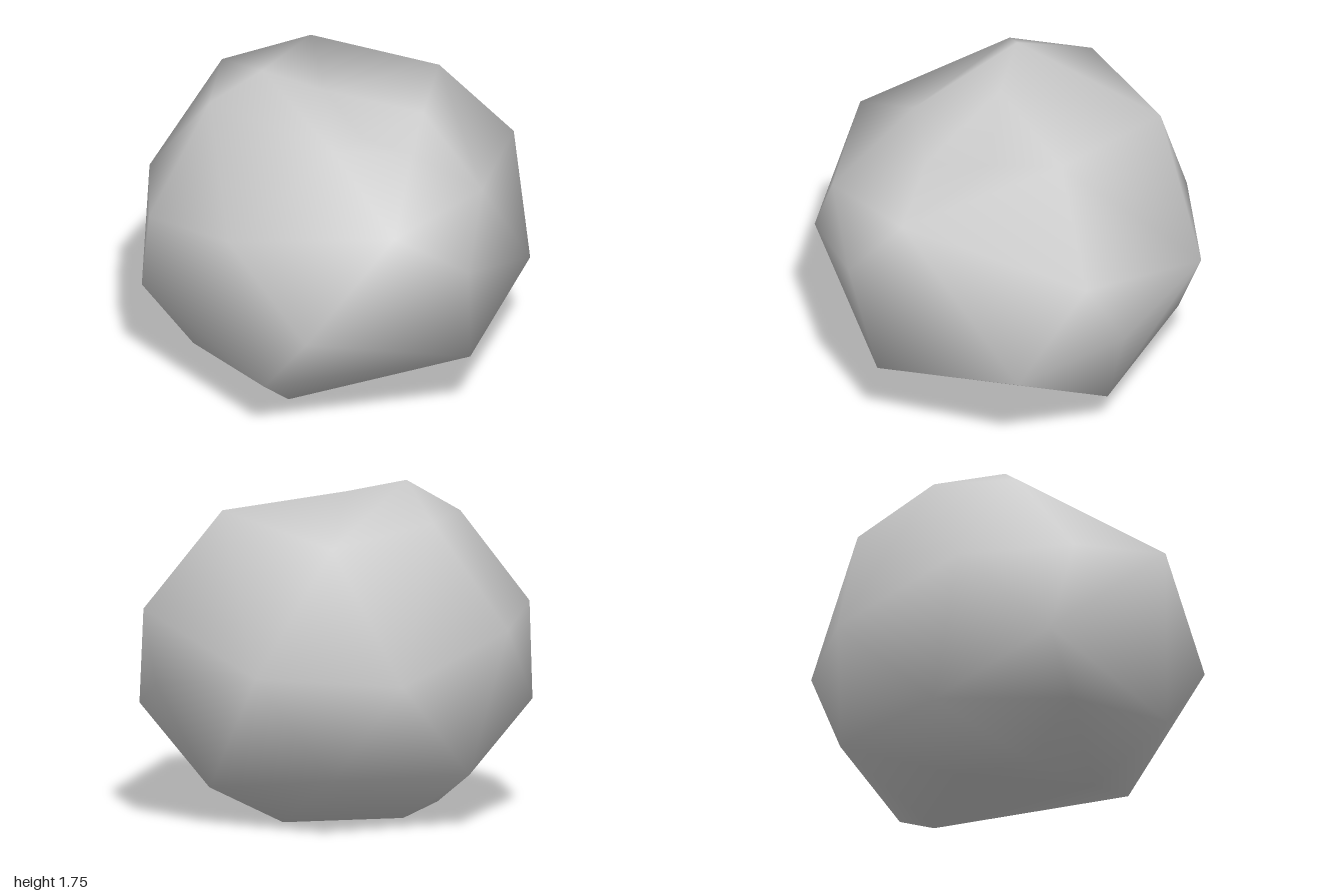
import * as THREE from 'three';
import { mergeVertices } from 'three/addons/utils/BufferGeometryUtils.js';
import { ConvexGeometry } from 'three/addons/geometries/ConvexGeometry.js';

// Corners of the boulder, grouped by height
const CROWN = [
  [-0.26, 1.75, -0.33], [0.55, 1.61, 0.18], [-0.11, 1.59, -0.73],
  [0.48, 1.5, -0.63], [-0.48, 1.59, -0.5],
];
const DENT = [
  [0.21, 1.55, 0.36], [-0.41, 1.57, 0.28], [-0.1, 1.67, -0.04],
  [-0.08, 1.5, 0.53], [-0.14, 1.52, 0.25],
];
const MIDDLE = [
  [0.92, 1.11, 0.37], [1, 0.75, 0.17], [0.71, 0.56, 0.66], [0.08, 1.35, 0.87],
  [-0.18, 1.02, 1], [-0.51, 1.29, 0.78], [-0.9, 0.72, 0.51], [-1, 1.22, 0.07],
  [-0.9, 1.08, -0.55], [-0.83, 0.59, -0.66], [-0.44, 1.02, -0.94],
  [0.31, 0.81, -1], [0.89, 0.85, -0.51],
];
const BASE = [
  [-0.06, 0.42, 0.91], [0.75, 0.2, 0.04], [0.39, 0, -0.12], [-0.52, 0.04, 0.07],
  [-0.89, 0.35, 0.22], [-0.75, 0.31, -0.38], [-0.45, 0.05, -0.35],
  [-0.1, 0.02, -0.5], [-0.23, 0.28, -0.88], [0.54, 0.3, -0.7],
];

// Wrap a skin around rounded-out corners, then move them to their true places
function skin(corners) {
  const center = new THREE.Vector3(0, 0.875, 0);
  const rounded = corners.map((p) => {
    const onSphere = p.clone().sub(center).normalize().add(center);
    return p.clone().lerp(onSphere, 0.6);
  });
  const geo = new ConvexGeometry(rounded);
  const pos = geo.attributes.position;
  const v = new THREE.Vector3();
  for (let i = 0; i < pos.count; i++) {
    v.fromBufferAttribute(pos, i);
    let best = 0;
    rounded.forEach((r, j) => {
      if (r.distanceToSquared(v) < rounded[best].distanceToSquared(v)) best = j;
    });
    pos.setXYZ(i, corners[best].x, corners[best].y, corners[best].z);
  }
  geo.deleteAttribute('normal');
  const smooth = mergeVertices(geo, 1e-4);
  smooth.computeVertexNormals();
  return smooth;
}

export function createModel() {
  const group = new THREE.Group();
  group.name = 'boulder';
  const stone = new THREE.MeshStandardMaterial({ color: 0xcccccc });
  stone.name = 'pale stone';

  // Single smooth-shaded, low-poly rock
  const corners = [...CROWN, ...DENT, ...MIDDLE, ...BASE].map((p) => new THREE.Vector3(...p));
  const rock = new THREE.Mesh(skin(corners), stone);
  rock.name = 'rock';
  group.add(rock);
  return group;
}
